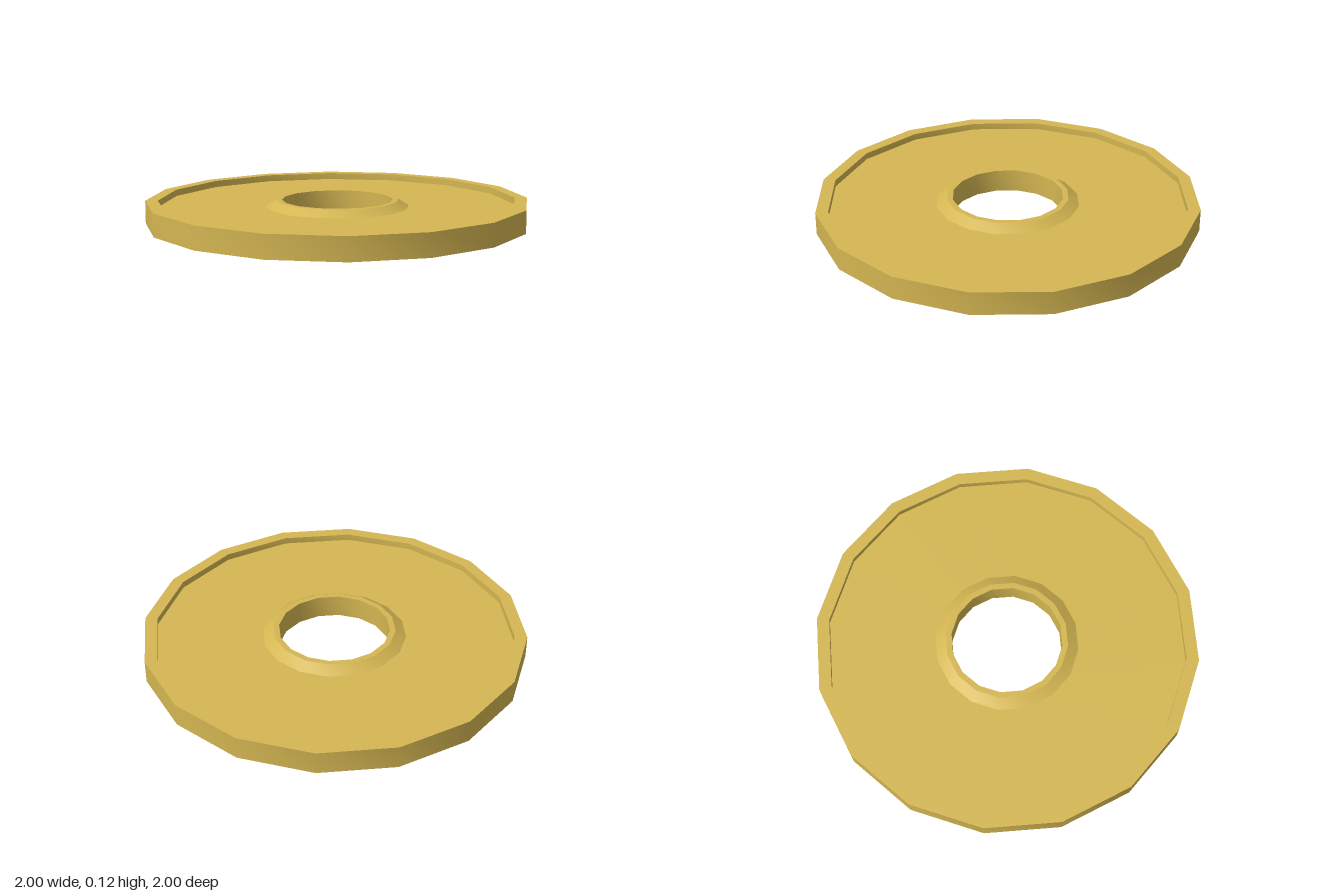
import * as THREE from 'three';
import { toCreasedNormals } from 'three/addons/utils/BufferGeometryUtils.js';

const SIDES = 16;
const H = 0.12;        // full thickness
const RECESS = 0.035;  // depth of the sunken face on both sides
const LOW = RECESS, HIGH = H - RECESS;
const R = { hole: 0.29, lip: 0.32, hubBase: 0.375, rimInner: 0.935, outer: 1 };

export function createModel() {
  const group = new THREE.Group();
  group.name = 'ringDisc';
  const material = new THREE.MeshStandardMaterial({ color: 0xd4b652 });

  // Turns a (radius, height) profile into a 16-sided ring, smooth around, sharp at the steps
  const addRing = (name, profile) => {
    const points = profile.map(([r, y]) => new THREE.Vector2(r, y));
    const geometry = toCreasedNormals(new THREE.LatheGeometry(points, SIDES), 0.5);
    const mesh = new THREE.Mesh(geometry, material);
    mesh.name = name;
    group.add(mesh);
  };

  // Raised outer rim
  addRing('rim', [
    [R.rimInner, LOW], [R.rimInner, 0], [R.outer, 0],
    [R.outer, H], [R.rimInner, H], [R.rimInner, HIGH],
  ]);

  // Sunken flat faces, top and bottom
  addRing('topFace', [[R.rimInner, HIGH], [R.hubBase, HIGH]]);
  addRing('bottomFace', [[R.hubBase, LOW], [R.rimInner, LOW]]);

  // Bevelled collar around the centre hole
  addRing('hub', [
    [R.hubBase, HIGH], [R.lip, H], [R.hole, H],
    [R.hole, 0], [R.lip, 0], [R.hubBase, LOW],
  ]);

  return group;
}
